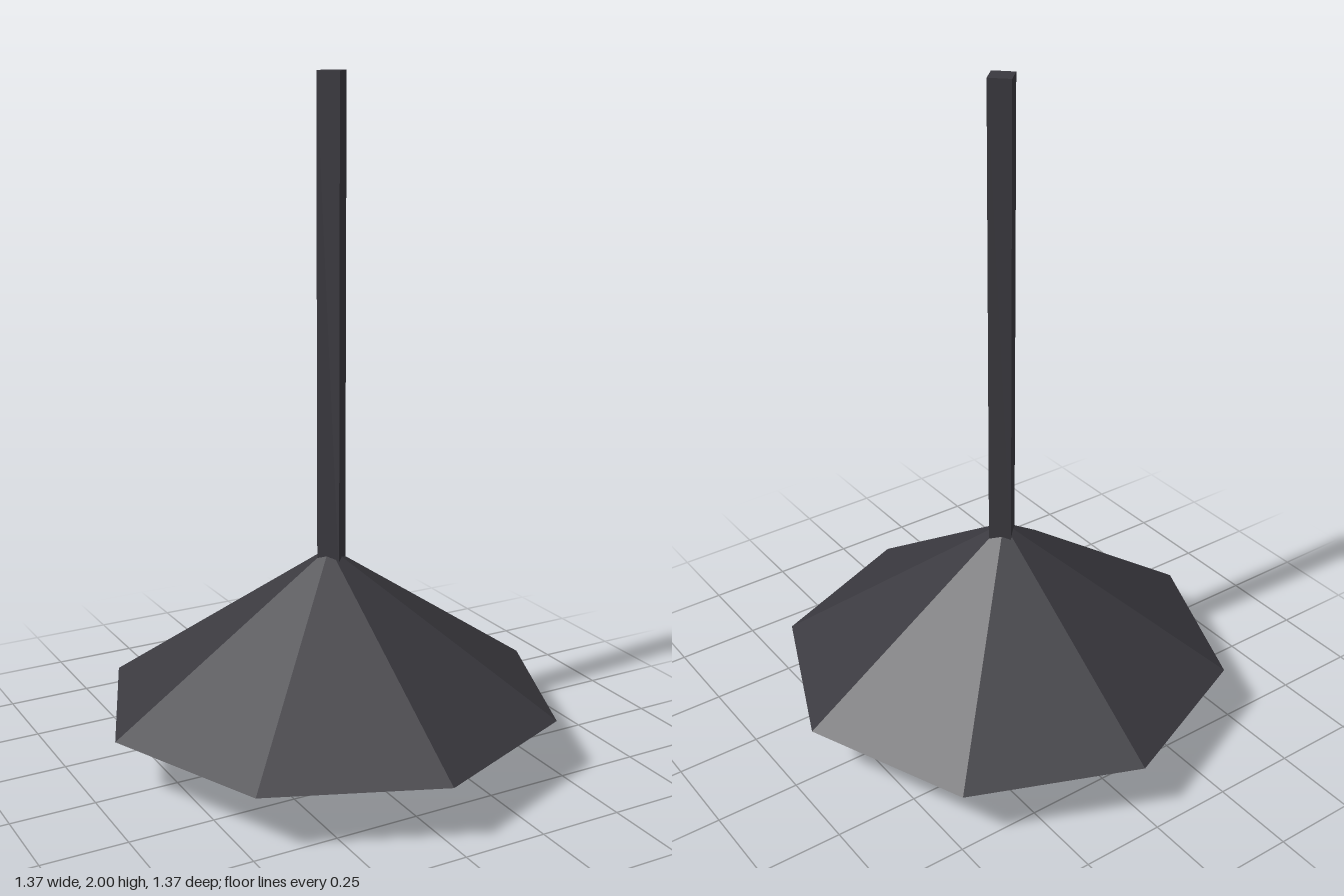
import * as THREE from 'three';

// Faceted solid of revolution; profile runs so that its right-hand side faces outward
function facetedLathe(name, profile, sides, material) {
  const points = profile.map(([r, y]) => new THREE.Vector2(r, y));
  const geometry = new THREE.LatheGeometry(points, sides).toNonIndexed();
  geometry.computeVertexNormals();
  const mesh = new THREE.Mesh(geometry, material);
  mesh.name = name;
  return mesh;
}

export function createModel() {
  const model = new THREE.Group();
  model.name = 'pendantLamp';

  const darkMetal = new THREE.MeshStandardMaterial({ color: 0x3a393f });
  darkMetal.name = 'darkMetal';
  const warmGlass = new THREE.MeshStandardMaterial({ color: 0xcfab7b });
  warmGlass.name = 'warmGlass';

  // Octagonal shade: recessed ceiling, inner wall, flat rim, outer cone
  const shade = facetedLathe('shade', [
    [0, 0.345], [0.4, 0.345], [0.548, 0.17], [0.685, 0.17], [0, 0.634],
  ], 8, darkMetal);

  // Square hanging rod, corners on the axes
  const rod = facetedLathe('rod', [
    [0, 0.56], [0.047, 0.56], [0.047, 2], [0, 2],
  ], 4, darkMetal);
  rod.position.x = 0.007;

  // Six-sided bulb, slightly off centre
  const bulb = facetedLathe('bulb', [
    [0, 0], [0.106, 0], [0.225, 0.2], [0.165, 0.35], [0, 0.35],
  ], 6, warmGlass);
  bulb.position.set(0.05, 0, 0.005);

  model.add(shade, rod, bulb);
  return model;
}
